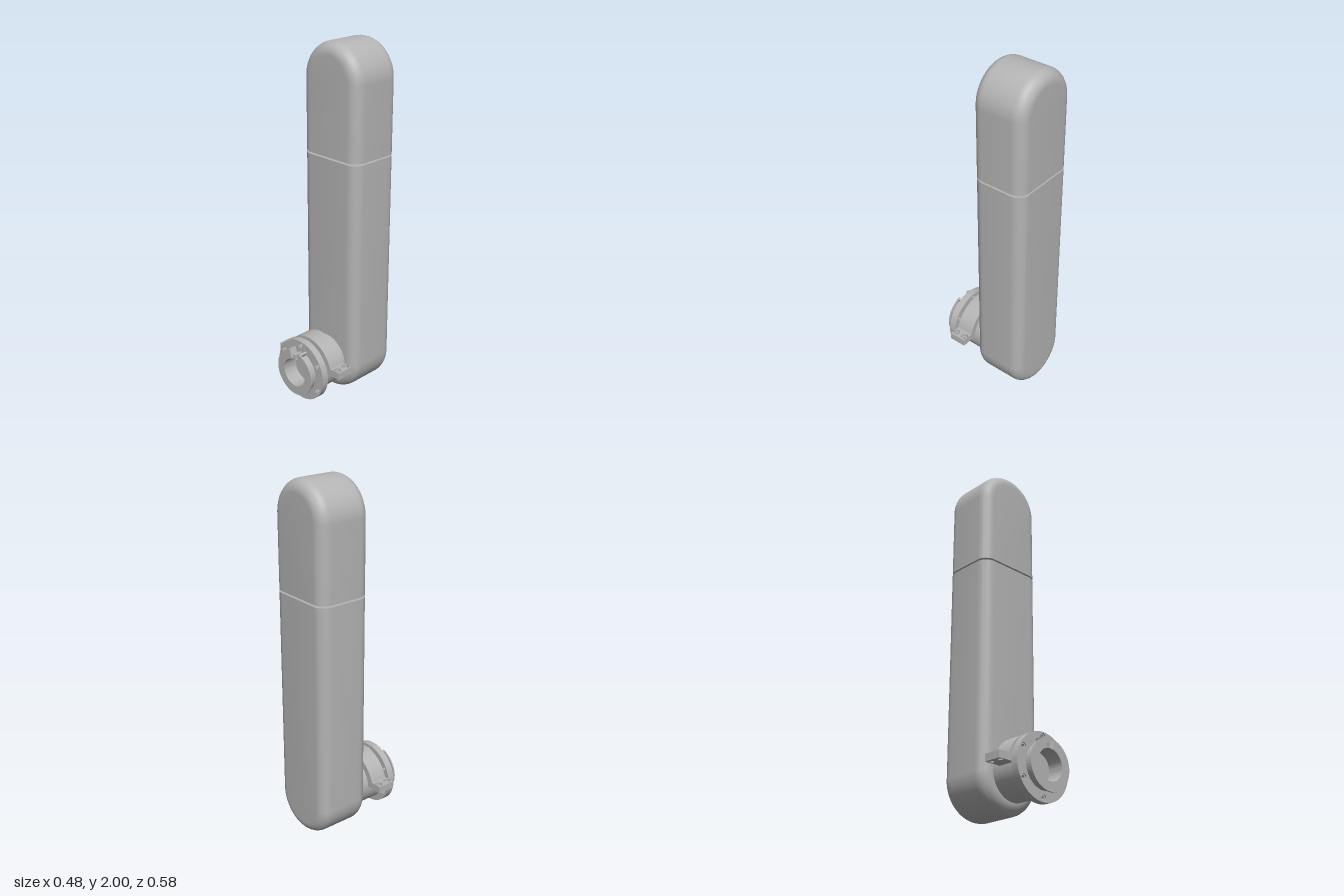
import * as THREE from 'three';
import { toCreasedNormals } from 'three/addons/utils/BufferGeometryUtils.js';

const grey = new THREE.MeshStandardMaterial({ color: 0xb4b4b4 });
grey.name = 'grey metal';

const AXIS_Y = 0.2; // height of the joint axis

function mesh(name, geometry, parent) {
  const m = new THREE.Mesh(toCreasedNormals(geometry, 0.6), grey);
  m.name = name;
  parent.add(m);
  return m;
}

// One half of the link shell: rounded end at the origin, flat cut at y = -length
function shellHalf(length) {
  const bevel = 0.065, r = 0.2 - bevel;
  const s = new THREE.Shape();
  s.moveTo(-r, -length);
  s.lineTo(r, -length);
  s.absarc(0, 0, r, 0, Math.PI, false);
  const g = new THREE.ExtrudeGeometry(s, {
    depth: 0.185, bevelEnabled: true, bevelSize: bevel, bevelThickness: bevel,
    bevelSegments: 8, curveSegments: 40,
  });
  // flatten the bevel below the cut into a plane
  const p = g.attributes.position;
  for (let i = 0; i < p.count; i++) p.setY(i, Math.max(p.getY(i), -length));
  g.translate(0, 0, -0.225);
  return g;
}

function circlePath(x, y, r) {
  const p = new THREE.Path();
  p.absarc(x, y, r, 0, Math.PI * 2, true);
  return p;
}

// Full or partial ring about the joint axis, from z0 to z1
function ring(rIn, rOut, z0, z1, a0 = 0, a1 = Math.PI * 2, holes = []) {
  const s = new THREE.Shape();
  s.absarc(0, 0, rOut, a0, a1, false);
  if (a1 - a0 < 6.28) s.absarc(0, 0, rIn, a1, a0, true);
  else s.holes.push(circlePath(0, 0, rIn));
  holes.forEach(([x, y, r]) => s.holes.push(circlePath(x, y, r)));
  return new THREE.ExtrudeGeometry(s, { depth: z1 - z0, bevelEnabled: false, curveSegments: 64 })
    .translate(0, 0, z0);
}

function disc(r, z0, z1, x = 0, y = 0) {
  return new THREE.CylinderGeometry(r, r, z1 - z0, r > 0.05 ? 64 : 20)
    .rotateX(Math.PI / 2).translate(x, y, (z0 + z1) / 2);
}

// Horizontal plate with two vertical holes
function tabLayer(holeR, yTop, height) {
  const s = new THREE.Shape();
  s.moveTo(0.168, 0.08);
  s.lineTo(0.238, 0.08);
  s.lineTo(0.238, 0.18);
  s.lineTo(0.168, 0.18);
  s.closePath();
  for (const z of [0.1, 0.16]) s.holes.push(circlePath(0.209, z, holeR));
  return new THREE.ExtrudeGeometry(s, { depth: height, bevelEnabled: false, curveSegments: 16 })
    .rotateX(Math.PI / 2).translate(0, yTop, 0);
}

export function createModel() {
  const model = new THREE.Group();
  model.name = 'armLink';

  // link shell in two halves with a thin seam
  mesh('upperShell', shellHalf(0.405), model).position.y = 1.8;
  const lower = shellHalf(1.185).rotateZ(Math.PI);
  mesh('lowerShell', lower, model).position.y = AXIS_Y;
  mesh('seamDisc', new THREE.CylinderGeometry(0.082, 0.082, 0.02, 48), model)
    .position.set(0, 1.39, -0.13);

  // joint at the foot of the link
  const joint = new THREE.Group();
  joint.name = 'joint';
  joint.position.y = AXIS_Y;
  model.add(joint);
  mesh('jointBarrel', disc(0.142, 0.035, 0.18), joint);

  // half-ring saddle clamp with drilled tabs
  mesh('clampSaddle', ring(0.14, 0.178, 0.08, 0.18, 0.06, Math.PI - 0.06), joint);
  for (const side of [0, Math.PI]) {
    const tab = new THREE.Group();
    tab.name = side ? 'rightTab' : 'leftTab';
    // turn the tab about the vertical axis through the clamp middle
    tab.position.z = side ? 0.26 : 0;
    tab.rotation.y = side;
    joint.add(tab);
    mesh('tabBase', tabLayer(0.013, 0.035, 0.025), tab);
    mesh('tabCounterbore', tabLayer(0.02, 0.05, 0.015), tab);
  }

  // bolted output flange
  const bolts = [];
  for (let i = 0; i < 6; i++) {
    const a = Math.PI / 6 + (i * Math.PI) / 3;
    bolts.push([0.155 * Math.cos(a), 0.155 * Math.sin(a), 0.017]);
  }
  mesh('flange', ring(0.083, 0.178, 0.203, 0.242, 0, Math.PI * 2, bolts), joint);
  bolts.forEach(([x, y]) => {
    const g = ring(0.009, 0.0172, 0.206, 0.236).translate(x, y, 0);
    mesh('boltHead', g, joint);
  });

  // split neck and lip with a wedge opening at the top
  const up = Math.PI / 2, full = Math.PI * 2;
  mesh('neckSleeve', ring(0.083, 0.088, 0.24, 0.285), joint);
  mesh('neck', ring(0.086, 0.12, 0.24, 0.283, up + 0.4, up + full - 0.4), joint);
  mesh('lip', ring(0.083, 0.135, 0.282, 0.29, up + 0.26, up + full - 0.26), joint);
  for (const s of [-1, 1]) {
    const lug = new THREE.BoxGeometry(0.012, 0.05, 0.042).rotateZ(-s * 0.35)
      .translate(s * 0.038, 0.108, 0.262);
    mesh('notchLug', lug, joint);
  }
  mesh('notchKey', new THREE.BoxGeometry(0.016, 0.03, 0.048).translate(0, 0.098, 0.265), joint);

  return model;
}
